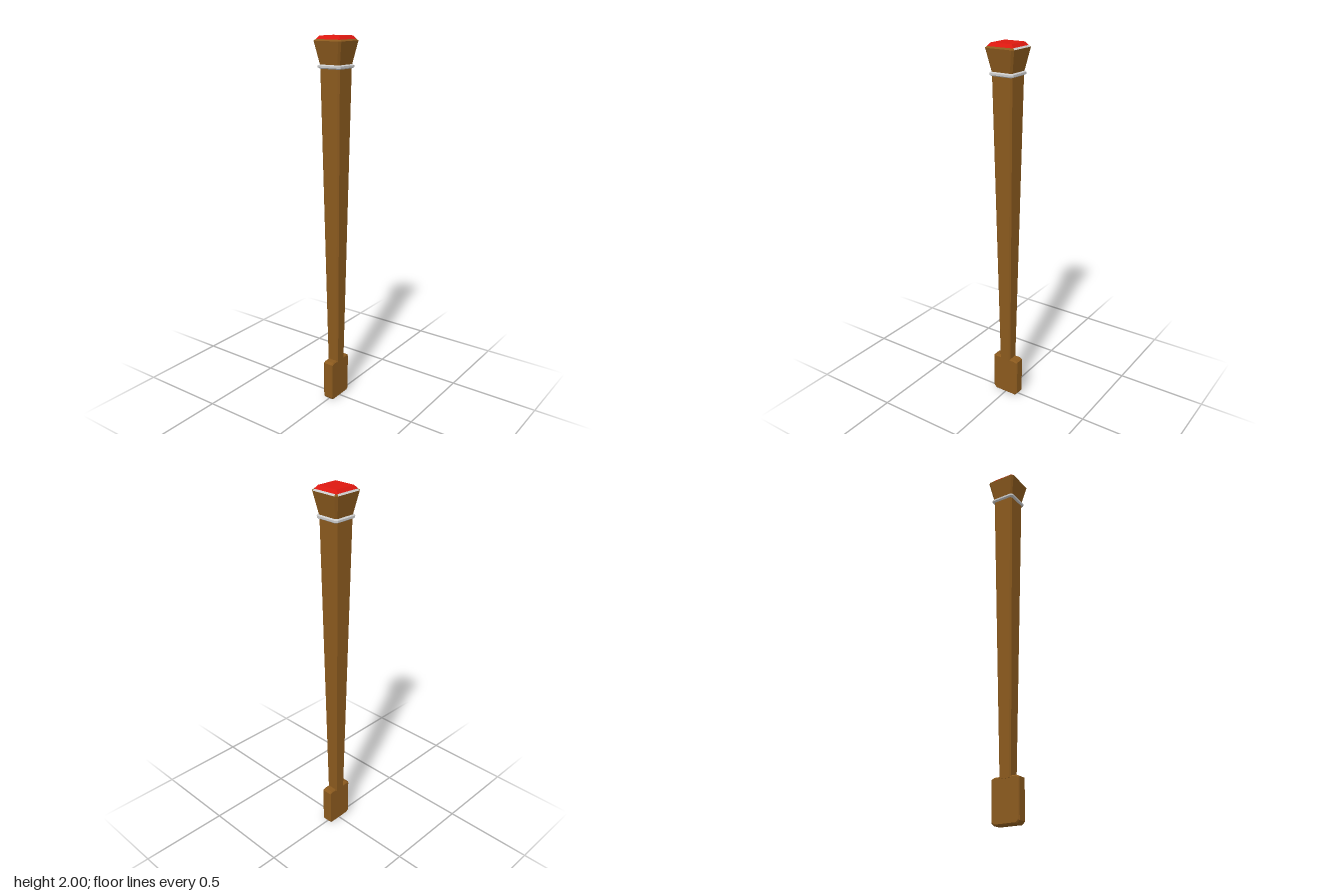
import * as THREE from 'three';

const mat = (color) => new THREE.MeshStandardMaterial({ color, flatShading: true });
const wood = mat(0x8b5a1e), metal = mat(0xcccccc), red = mat(0xdd1810);
const ALL = [0, 1, 2, 3, 4, 5, 6, 7];

// Square with cut corners: half width h, corner cut c, height y
function section([y, h, c]) {
  const s = h - c;
  return [[h, -s], [h, s], [s, h], [-s, h], [-h, s], [-h, -s], [-s, -h], [s, -h]]
    .map(([x, z]) => [x, y, z]);
}

// Skin chamfered-square sections from bottom to top; sides picks which of the 8 walls to make
function loft(name, material, sections, { sides = ALL, caps = true } = {}) {
  const rings = sections.map(section);
  const pos = [];
  const tri = (...pts) => pts.forEach((p) => pos.push(...p));
  for (let i = 0; i + 1 < rings.length; i++) {
    for (const k of sides) {
      const n = (k + 1) % 8, lo = rings[i], hi = rings[i + 1];
      tri(lo[k], hi[k], lo[n]);
      tri(lo[n], hi[k], hi[n]);
    }
  }
  if (caps) {
    const lo = rings[0], hi = rings[rings.length - 1];
    for (let k = 1; k < 7; k++) {
      tri(hi[0], hi[k + 1], hi[k]);
      tri(lo[0], lo[k], lo[k + 1]);
    }
  }
  const geo = new THREE.BufferGeometry();
  geo.setAttribute('position', new THREE.Float32BufferAttribute(pos, 3));
  geo.computeVertexNormals();
  const mesh = new THREE.Mesh(geo, material);
  mesh.name = name;
  return mesh;
}

// Flat foot: a cut-corner plate in the z-y plane with bevelled broad faces
function foot() {
  const b = 0.006, hz = 0.08 - b, y0 = b, y1 = 0.232 - b, c = 0.012;
  const shape = new THREE.Shape([
    [-hz + c, y0], [hz - c, y0], [hz, y0 + c], [hz, y1 - c / 2],
    [hz - c, y1], [-hz + c, y1], [-hz, y1 - c / 2], [-hz, y0 + c],
  ].map(([u, v]) => new THREE.Vector2(u, v)));
  const depth = 0.06 - 2 * b;
  const geo = new THREE.ExtrudeGeometry(shape, {
    depth, bevelEnabled: true, bevelThickness: b, bevelSize: b, bevelSegments: 1,
  });
  geo.translate(0, 0, -depth / 2).rotateY(Math.PI / 2);
  const mesh = new THREE.Mesh(geo, wood);
  mesh.name = 'foot';
  return mesh;
}

export function createModel() {
  const group = new THREE.Group();
  group.name = 'taperedPost';
  const rim = [[1.976, 0.084, 0.011], [1.984, 0.075, 0.009]];
  group.add(
    foot(),
    loft('shaft', wood, [[0.22, 0.033, 0.007], [1.85, 0.06, 0.009]]),
    // Thin band under the flared head
    loft('collar', metal, [
      [1.841, 0.06, 0.009], [1.847, 0.07, 0.011], [1.857, 0.07, 0.011], [1.863, 0.06, 0.009],
    ]),
    loft('head', wood, [[1.855, 0.06, 0.009], [1.976, 0.084, 0.011]]),
    // Bevelled rim: wood, with metal edging on two sides
    loft('headRim', wood, rim, { sides: [0, 1, 2, 3, 5, 7], caps: false }),
    loft('rimEdging', metal, rim, { sides: [4, 6], caps: false }),
    loft('cap', red, [[1.976, 0.075, 0.008], [1.984, 0.075, 0.008], [2, 0.06, 0.001]]),
  );
  return group;
}
